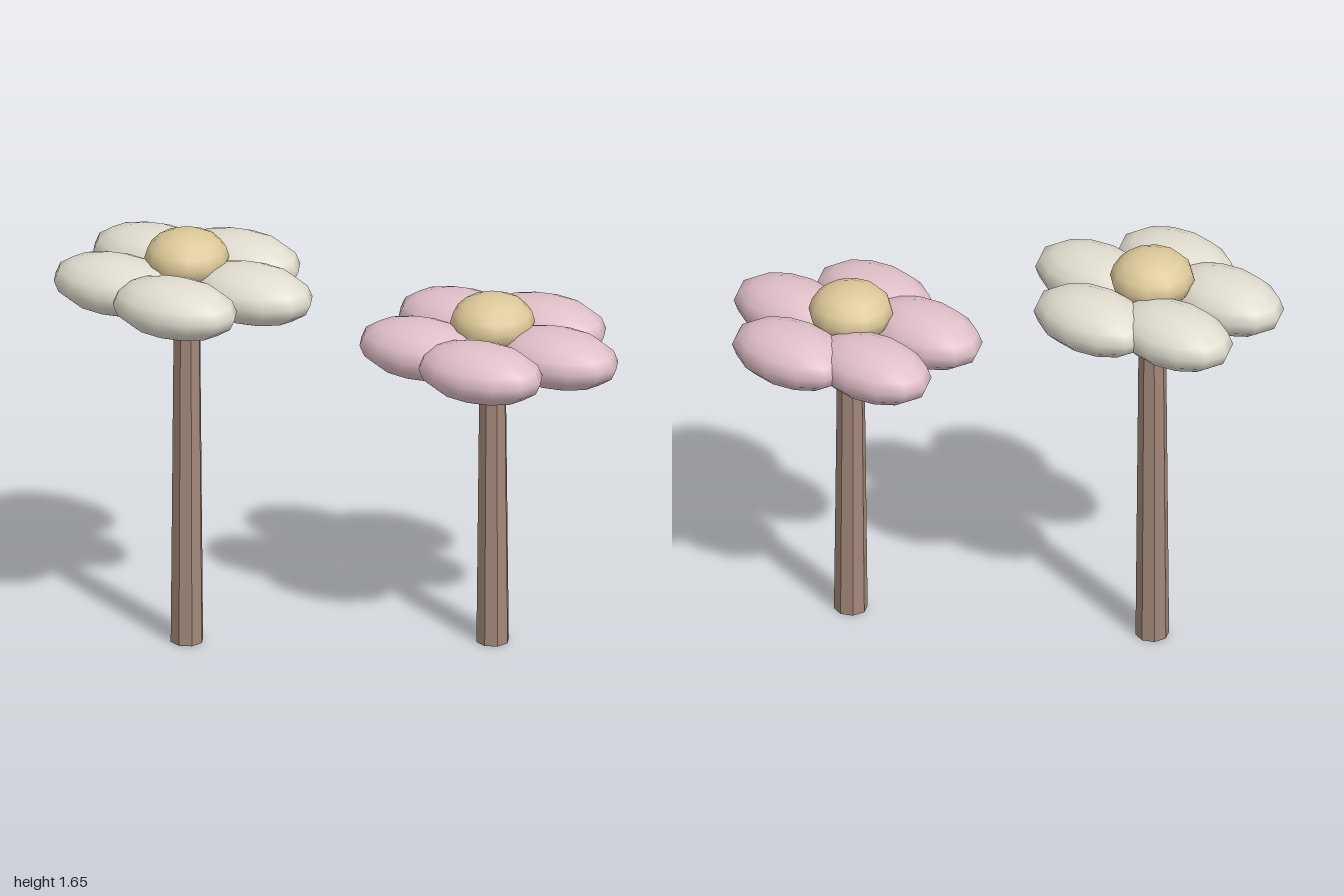
import * as THREE from 'three';

const material = (name, color, flatShading = false) => {
  const m = new THREE.MeshStandardMaterial({ color, flatShading });
  m.name = name;
  return m;
};

export function createModel() {
  const cream = material('creamPetal', 0xe0dccf);
  const pink = material('pinkPetal', 0xe0bfc8);
  const gold = material('goldCentre', 0xdcc898);
  const bark = material('brownStem', 0xa28778, true);

  const petalGeometry = new THREE.SphereGeometry(1, 12, 8).scale(0.251, 0.11, 0.162);
  const centreGeometry = new THREE.SphereGeometry(0.158, 12, 8).scale(1, 0.67, 1);

  // One flower: tapered stem, ring of five petals, domed centre
  const flower = (name, x, z, headY, petalMaterial) => {
    const group = new THREE.Group();
    group.name = name;
    group.position.set(x, 0, z);

    const add = (part, geometry, mat, px, py, pz) => {
      const mesh = new THREE.Mesh(geometry, mat);
      mesh.name = part;
      mesh.position.set(px, py, pz);
      group.add(mesh);
    };

    add('stem', new THREE.CylinderGeometry(0.05, 0.063, headY, 8), bark, 0, headY / 2, 0);

    // Petals sit around the ring but all keep their long axis along x
    const ring = 0.267;
    for (let i = 0; i < 5; i++) {
      const a = (i / 5) * Math.PI * 2;
      add('petal' + (i + 1), petalGeometry, petalMaterial,
        Math.cos(a) * ring, headY, Math.sin(a) * ring);
    }

    add('flowerCentre', centreGeometry, gold, 0, headY + 0.094, 0);
    return group;
  };

  const model = new THREE.Group();
  model.name = 'flowerPair';
  model.add(flower('tallCreamFlower', -0.53, 0.263, 1.455, cream));
  model.add(flower('shortPinkFlower', 0.476, -0.263, 1.195, pink));
  return model;
}
